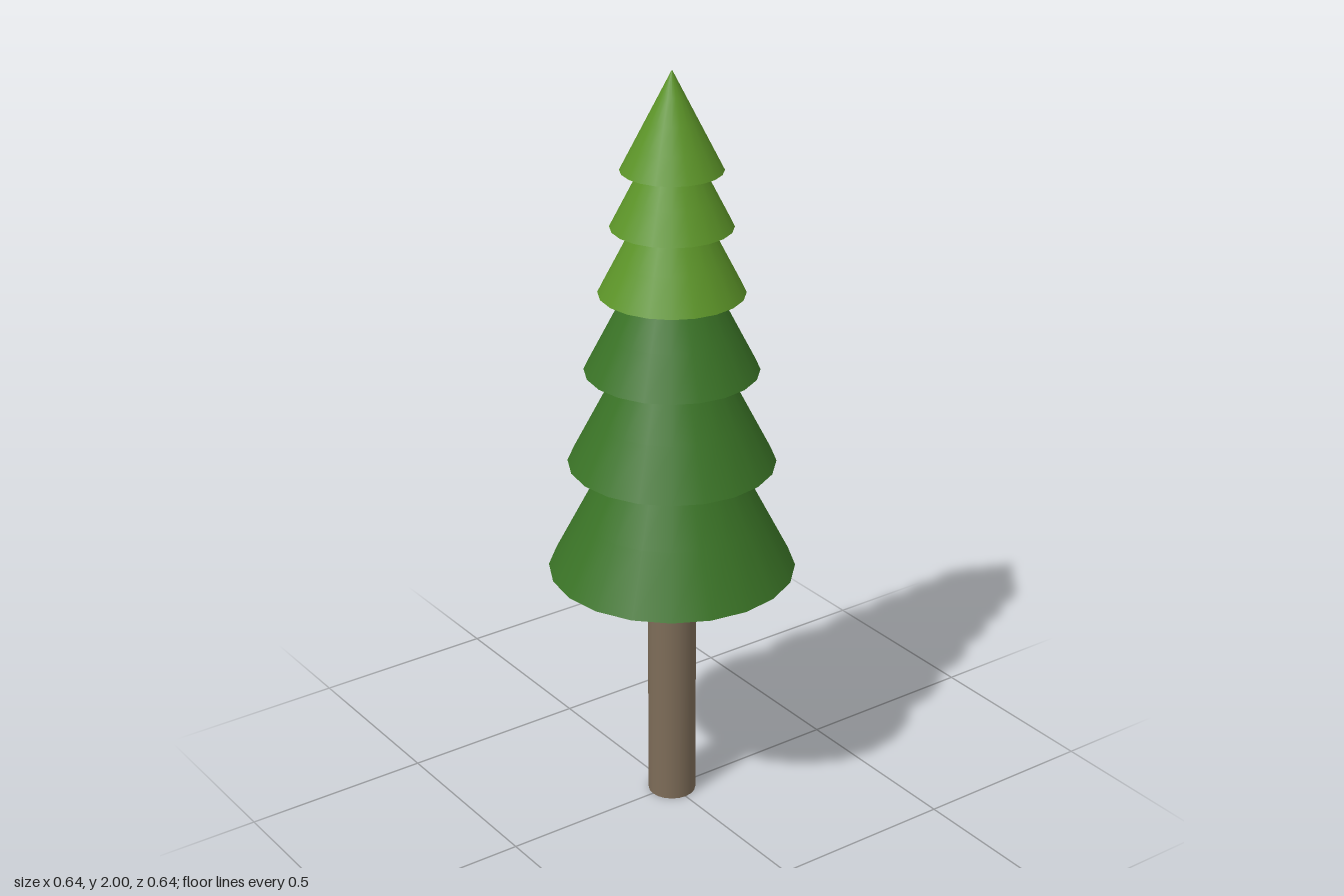
import * as THREE from 'three';

const SIDES = 20;

export function createModel() {
  const tree = new THREE.Group();
  tree.name = 'pineTree';

  const paint = (name, color) => {
    const material = new THREE.MeshStandardMaterial({ color });
    material.name = name;
    return material;
  };
  const bark = paint('bark brown', 0x7d6c58);
  const darkGreen = paint('dark green', 0x3a7326);
  const lightGreen = paint('light green', 0x5c9428);

  // Trunk, ending just inside the lowest tier
  const trunk = new THREE.Mesh(new THREE.CylinderGeometry(0.063, 0.063, 0.68, SIDES), bark);
  trunk.name = 'trunk';
  trunk.position.y = 0.34;
  tree.add(trunk);

  // Foliage: similar cones, each one 1.2 times smaller than the one below
  const bases = [0.676, 0.974, 1.226, 1.433, 1.605, 1.75];
  bases.forEach((base, i) => {
    const scale = 1.2 ** -i;
    const height = 0.622 * scale;
    const side = i < 3 ? darkGreen : lightGreen;
    const underside = i === 0 ? lightGreen : side;
    // Cone groups: 0 is the side, 2 is the bottom cap
    const tier = new THREE.Mesh(
      new THREE.ConeGeometry(0.319 * scale, height, SIDES, 4),
      [side, side, underside]
    );
    tier.name = `foliageTier${i + 1}`;
    tier.position.y = base + height / 2;
    tree.add(tier);
  });

  return tree;
}
